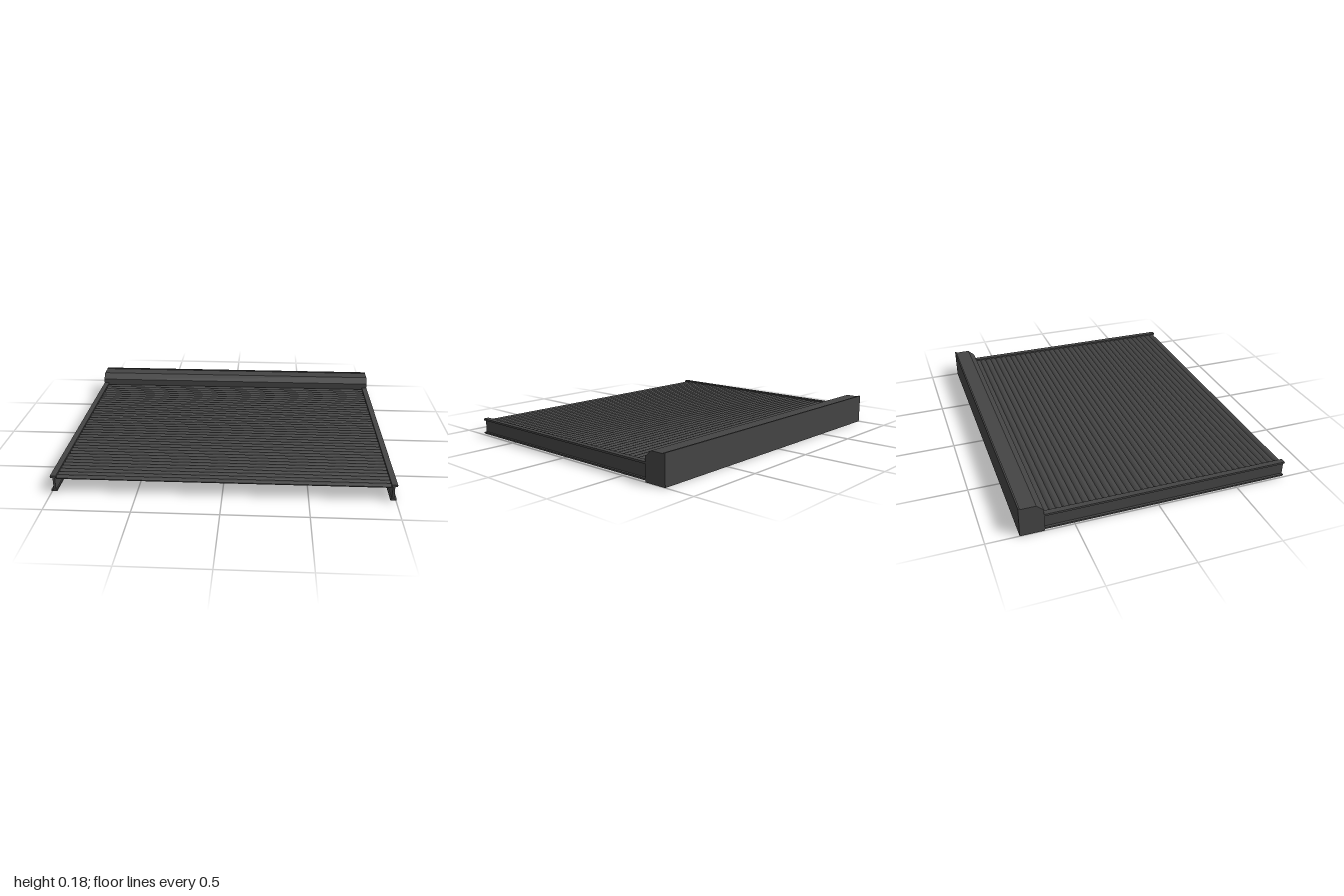
import * as THREE from 'three';

const material = new THREE.MeshStandardMaterial({ color: 0x444444, flatShading: true });
const FRONT = 0.81, BOX_FRONT = -0.67, BACK = -0.81;

// Extrudes a (z, y) profile across the width, centred on x = 0.
function acrossWidth(name, points, width) {
  const shape = new THREE.Shape(points.map(([z, y]) => new THREE.Vector2(-z, y)));
  const geometry = new THREE.ExtrudeGeometry(shape, { depth: width, bevelEnabled: false });
  geometry.translate(0, 0, -width / 2);
  geometry.rotateY(Math.PI / 2);
  const mesh = new THREE.Mesh(geometry, material);
  mesh.name = name;
  return mesh;
}

export function createModel() {
  const model = new THREE.Group();
  model.name = 'rollerShutter';

  // Housing with a chamfered front edge and a small lip at the back
  model.add(acrossWidth('housing', [
    [BOX_FRONT, 0], [BOX_FRONT, 0.14], [-0.71, 0.177], [-0.8, 0.177],
    [-0.8, 0.183], [BACK, 0.183], [BACK, 0],
  ], 2));

  // Curtain: domed slats with narrow grooves between them, flat underneath
  const slats = 38, start = 0.803, pitch = (start - BOX_FRONT) / slats;
  const profile = [[start, 0.088]];
  for (let i = 0; i < slats; i++) {
    const z = start - i * pitch;
    for (const [t, y] of [[0, 0.094], [0.08, 0.097], [0.3, 0.102], [0.55, 0.103], [0.8, 0.1], [0.94, 0.096]]) {
      profile.push([z - t * pitch, y]);
    }
  }
  profile.push([BOX_FRONT, 0.094], [BOX_FRONT, 0.088]);
  model.add(acrossWidth('slatCurtain', profile, 1.93));

  // Guide rails: I-shaped section, mirrored to both sides
  const section = [
    [0.965, 0.01], [1, 0.01], [1, 0.02], [0.985, 0.02], [0.985, 0.098], [1, 0.098],
    [1, 0.11], [0.966, 0.11], [0.966, 0.098], [0.972, 0.098], [0.972, 0.02], [0.965, 0.02],
  ];
  for (const side of [1, -1]) {
    const shape = new THREE.Shape(section.map(([x, y]) => new THREE.Vector2(side * x, y)));
    const geometry = new THREE.ExtrudeGeometry(shape, { depth: FRONT - BOX_FRONT, bevelEnabled: false });
    geometry.translate(0, 0, BOX_FRONT);
    const rail = new THREE.Mesh(geometry, material);
    rail.name = side > 0 ? 'leftGuideRail' : 'rightGuideRail';
    model.add(rail);
  }
  return model;
}
